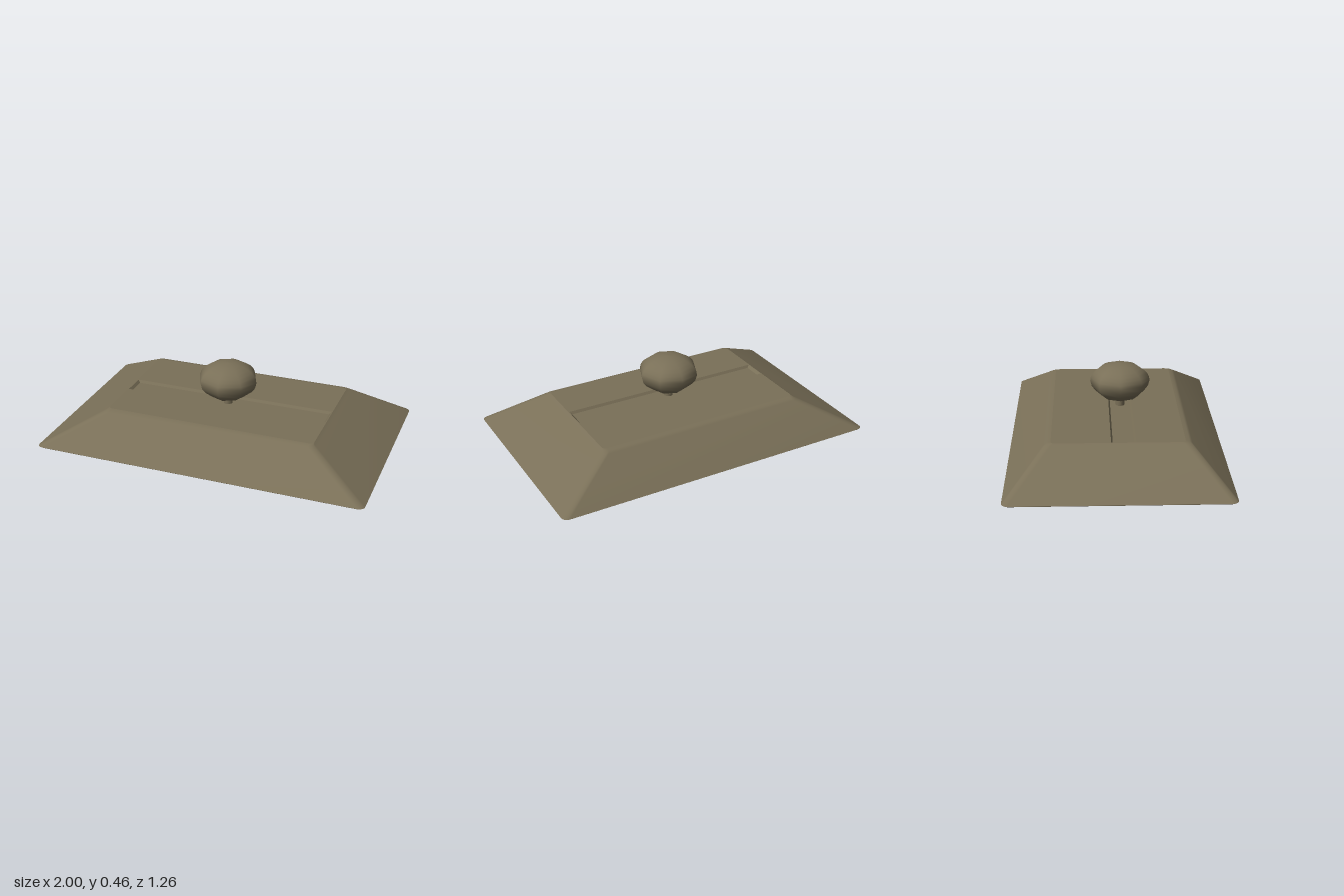
import * as THREE from 'three';

// Rounded rectangle in plan: half sizes hx, hz, corner radius r, centre line cz
function ring(hx, hz, r, cz = 0, segs = 4) {
  const pts = [];
  [[1, 1], [-1, 1], [-1, -1], [1, -1]].forEach(([sx, sz], q) => {
    for (let k = 0; k <= segs; k++) {
      const a = (q + (segs ? k / segs : 0)) * Math.PI / 2;
      const ox = segs ? r * Math.cos(a) : 0, oz = segs ? r * Math.sin(a) : 0;
      const inset = segs ? r : 0;
      pts.push([sx * (hx - inset) + ox, cz + sz * (hz - inset) + oz]);
    }
  });
  return pts;
}

// Skin between stacked rings, each { y, pts }
function loft(rings) {
  const n = rings[0].pts.length, pos = [], index = [];
  rings.forEach(({ y, pts }) => pts.forEach(([x, z]) => pos.push(x, y, z)));
  for (let l = 0; l < rings.length - 1; l++) {
    for (let i = 0; i < n; i++) {
      const a = l * n + i, b = l * n + (i + 1) % n;
      index.push(a, a + n, b, b, a + n, b + n);
    }
  }
  const g = new THREE.BufferGeometry();
  g.setAttribute('position', new THREE.Float32BufferAttribute(pos, 3));
  g.setIndex(index);
  g.computeVertexNormals();
  return g;
}

// Flat horizontal face filling a ring, facing up or down, with an optional hole
function cap(pts, y, up, hole) {
  const s = up ? -1 : 1;
  const toV = ([x, z]) => new THREE.Vector2(x, s * z);
  const shape = new THREE.Shape(pts.map(toV));
  if (hole) shape.holes.push(new THREE.Path(hole.map(toV)));
  return new THREE.ShapeGeometry(shape).rotateX(s * Math.PI / 2).translate(0, y, 0);
}

export function createModel() {
  const model = new THREE.Group();
  const bronze = new THREE.MeshStandardMaterial({ color: 0x7a7058 });
  bronze.name = 'dull bronze';
  const add = (name, geometry) => {
    const mesh = new THREE.Mesh(geometry, bronze);
    mesh.name = name;
    model.add(mesh);
    return mesh;
  };

  const topY = 0.21, floorY = 0.195, midZ = 0.03;

  // Sloping base with softened corners and long top edges
  const foot = ring(0.99, 0.62, 0.03);
  const crown = ring(0.637, 0.375, 0.025);
  add('baseSides', loft([
    { y: 0, pts: foot },
    { y: 0.008, pts: ring(1, 0.63, 0.035) },
    { y: 0.197, pts: ring(0.658, 0.413, 0.035) },
    { y: 0.206, pts: ring(0.643, 0.398, 0.03) },
    { y: topY, pts: crown },
  ]));
  add('baseBottom', cap(foot, 0, false));

  // Shallow slot across the top
  const slotRim = ring(0.632, 0.07, 0, midZ, 0);
  const slotFloor = ring(0.618, 0.06, 0, midZ, 0);
  add('baseTop', cap(crown, topY, true, slotRim));
  const walls = loft([{ y: topY, pts: slotRim }, { y: floorY, pts: slotFloor }]).toNonIndexed();
  walls.computeVertexNormals();
  add('slotWalls', walls);
  add('slotFloor', cap(slotFloor, floorY, true));

  // Stem
  const stem = add('stem', new THREE.CylinderGeometry(0.027, 0.027, 0.075, 8));
  stem.position.set(0, 0.2275, midZ);

  // Eight-sided knob: domed top, tapered underside
  const profile = [[0, 0.247], [0.06, 0.249], [0.105, 0.255], [0.15, 0.29], [0.171, 0.318]]
    .map(([r, y]) => new THREE.Vector2(r, y));
  for (let i = 0; i <= 8; i++) {
    const a = i / 8 * Math.PI / 2;
    profile.push(new THREE.Vector2(i === 8 ? 0 : 0.18 * Math.cos(a), 0.353 + 0.109 * Math.sin(a)));
  }
  const knob = add('knob', new THREE.LatheGeometry(profile, 8));
  knob.position.z = midZ;

  return model;
}
